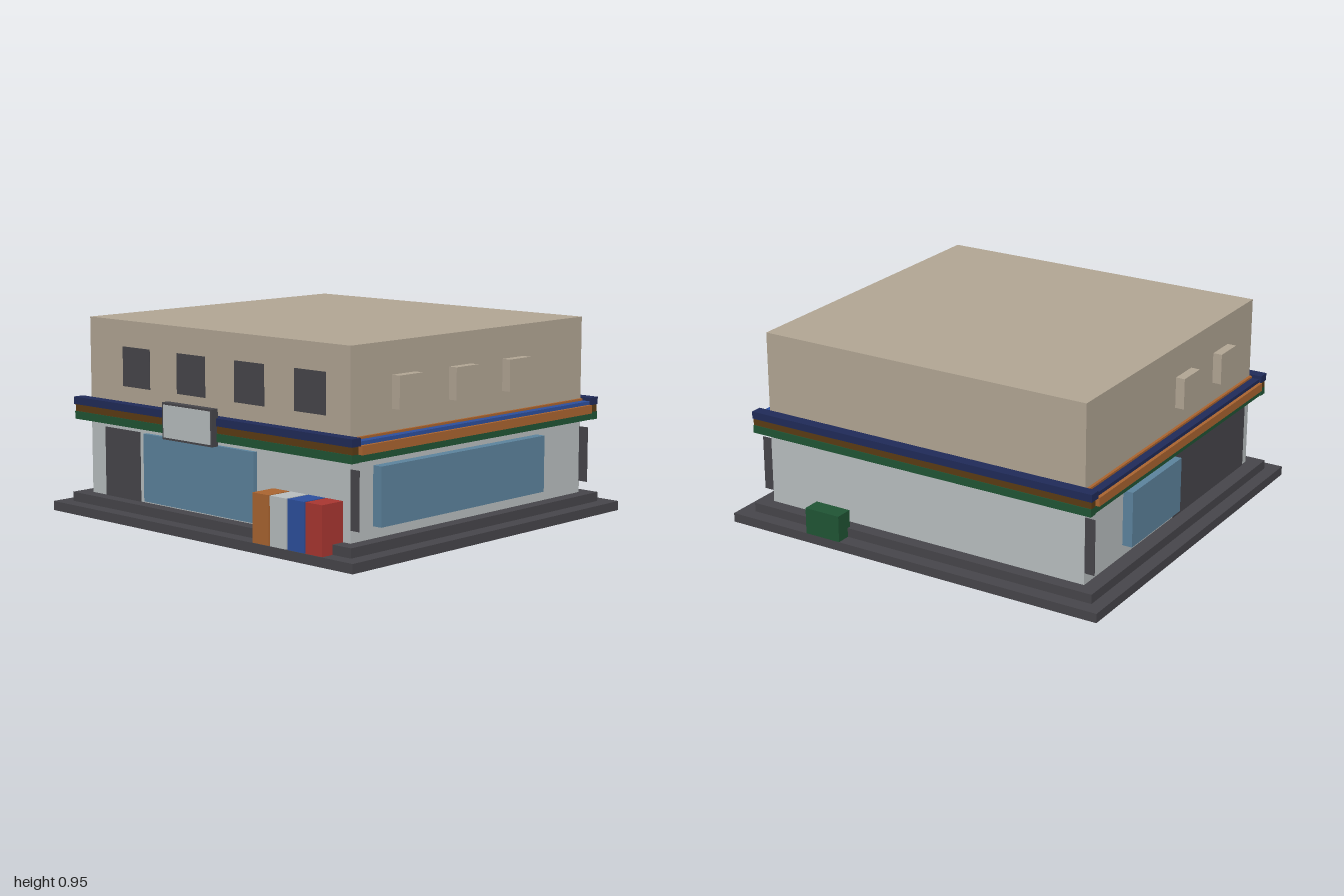
import * as THREE from 'three';

const mat = (name, color) => {
  const m = new THREE.MeshStandardMaterial({ color });
  m.name = name;
  return m;
};

export function createModel() {
  const tan = mat('tan plaster', 0xb3a795);
  const pale = mat('pale grey', 0xbac0c1);
  const dark = mat('charcoal', 0x47464b);
  const glass = mat('blue glass', 0x5d849e);
  const orange = mat('orange', 0xab6530);
  const brown = mat('brown', 0x5c3c14);
  const navy = mat('navy', 0x202b59);
  const blue = mat('blue', 0x2d509e);
  const green = mat('green', 0x205535);
  const red = mat('red', 0xaa3731);

  const model = new THREE.Group();
  model.name = 'shop';

  // Box given by its minimum and maximum on each axis
  const block = (name, material, [x0, x1], [y0, y1], [z0, z1]) => {
    const mesh = new THREE.Mesh(new THREE.BoxGeometry(x1 - x0, y1 - y0, z1 - z0), material);
    mesh.position.set((x0 + x1) / 2, (y0 + y1) / 2, (z0 + z1) / 2);
    mesh.name = name;
    model.add(mesh);
  };
  // Range between two distances from the centre, on the given side
  const span = (side, a, b) => (side > 0 ? [a, b] : [-b, -a]);

  // Base and walls
  block('groundSlab', dark, [-1, 1], [0, 0.045], [-0.95, 0.95]);
  block('step', dark, [-0.935, 0.925], [0.045, 0.09], [-0.88, 0.88]);
  block('lowerWalls', pale, [-0.86, 0.86], [0.09, 0.5], [-0.815, 0.815]);
  block('upperWalls', tan, [-0.86, 0.86], [0.5, 0.95], [-0.815, 0.815]);

  // Striped fascia around the building
  for (const s of [1, -1]) {
    block('fasciaBacking', orange, [-0.875, 0.875], [0.452, 0.525], span(s, 0.815, 0.83));
    block('greenStripe', green, [-0.92, 0.92], [0.452, 0.49], span(s, 0.83, 0.87));
    block('brownStripe', brown, [-0.92, 0.92], [0.49, 0.524], span(s, 0.83, 0.866));
    block('navyStripe', navy, [-0.925, 0.922], [0.524, 0.56], span(s, 0.815, 0.872));

    block('sideFasciaBacking', orange, span(s, 0.86, 0.874), [0.452, 0.553], [-0.815, 0.815]);
    block('sideGreenStripe', green, span(s, 0.874, 0.915), [0.452, 0.485], [-0.83, 0.83]);
    block('sideOrangeStripe', orange, span(s, 0.874, 0.931), [0.485, 0.526], [-0.815, 0.815]);
    block('sideTopStripe', s > 0 ? blue : navy, span(s, 0.874, 0.914), [0.526, 0.543], [-0.815, 0.815]);
  }

  // Upper front windows
  for (const x of [-0.525, -0.145, 0.24, 0.62]) {
    block('upperWindow', dark, [x - 0.095, x + 0.095], [0.635, 0.825], [0.815, 0.819]);
  }

  // Projecting boxes on the upper side walls
  const sideBoxes = { '1': [-0.288, 0.092, 0.474], '-1': [0.092, 0.474] };
  for (const s of [1, -1]) {
    for (const z of sideBoxes[s]) {
      block('sideBox', tan, span(s, 0.86, 0.905), [0.65, 0.8], [z - 0.076, z + 0.076]);
    }
  }

  // Front door and shop windows
  block('frontDoor', dark, [-0.755, -0.505], [0.09, 0.425], [0.815, 0.82]);
  block('frontGlass', glass, [-0.46, 0.285], [0.1, 0.425], [0.815, 0.836]);
  block('rightGlass', glass, [-0.91, -0.86], [0.145, 0.415], [-0.47, 0]);
  block('leftGlass', glass, [0.86, 0.908], [0.145, 0.415], [-0.475, 0.67]);
  block('sideDoor', dark, [-0.865, -0.86], [0.09, 0.43], [0.02, 0.765]);

  // Thin upright fins at three corners
  for (const [sx, sz] of [[1, 1], [1, -1], [-1, -1]]) {
    block('cornerFin', dark, span(sx, 0.86, 0.91), [0.147, 0.415], span(sz, 0.81, 0.814));
  }

  // Blank sign board above the entrance
  block('signFrame', dark, [-0.255, 0.08], [0.43, 0.603], [0.86, 0.898]);
  block('signPanel', pale, [-0.245, 0.07], [0.44, 0.593], [0.898, 0.901]);

  // Row of vending machines
  [orange, pale, blue, red].forEach((m, i) => {
    const x = 0.39 + i * 0.109;
    block('vendingMachine', m, [x, x + 0.1], [0.045, 0.272], [0.815, 0.946]);
  });

  // Bin behind the building
  block('rearBin', green, [0.377, 0.566], [0.045, 0.175], [-0.95, -0.862]);

  return model;
}
